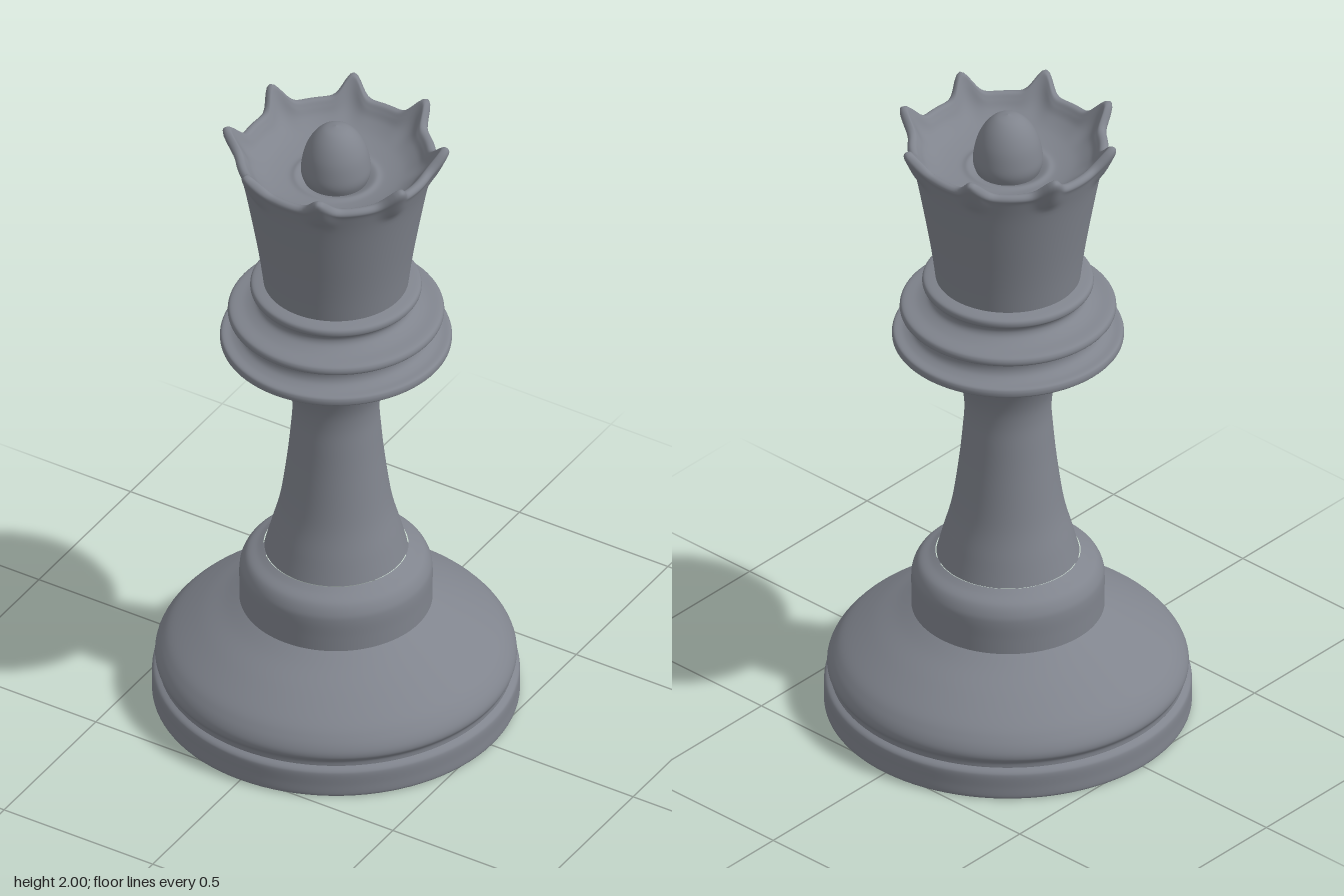
import * as THREE from 'three';
import { mergeVertices } from 'three/addons/utils/BufferGeometryUtils.js';

const SPIKES = 8;
const slate = new THREE.MeshStandardMaterial({ color: 0x80848d });
slate.name = 'slate grey';

// Smooth curve through [radius, height] points, listed bottom to top
function curve(points, steps = 6) {
  const spline = new THREE.SplineCurve(points.map(([r, y]) => new THREE.Vector2(r, y)));
  return spline.getPoints((points.length - 1) * steps)
    .map(p => new THREE.Vector2(Math.max(p.x, 0), p.y));
}

// Turned part around the vertical axis
function turned(name, points, steps = 6, segments = 96) {
  const mesh = new THREE.Mesh(new THREE.LatheGeometry(curve(points, steps), segments), slate);
  mesh.name = name;
  return mesh;
}

// Flared crown whose rim is pulled up and out into rounded points
function crown() {
  const profile = curve([
    [0.208, 1.455], [0.219, 1.54], [0.235, 1.64], [0.262, 1.79], [0.28, 1.865],
    [0.288, 1.888], [0.28, 1.9], [0.266, 1.899], [0.254, 1.885],
    [0.235, 1.862], [0.195, 1.838], [0.14, 1.824], [0.115, 1.826], [0.09, 1.815],
  ]);
  let geometry = new THREE.LatheGeometry(profile, 192);
  geometry.deleteAttribute('uv');
  geometry.deleteAttribute('normal');
  const pos = geometry.attributes.position;
  const step = (Math.PI * 2) / SPIKES;
  for (let i = 0; i < pos.count; i++) {
    const x = pos.getX(i), y = pos.getY(i), z = pos.getZ(i);
    const r = Math.hypot(x, z);
    const angle = Math.atan2(z, x) + Math.PI * 2;
    const offset = (angle % step) - step / 2;
    const spike = Math.exp(-((offset / 0.115) ** 2));
    const rim = THREE.MathUtils.smoothstep(y, 1.825, 1.897) * THREE.MathUtils.smoothstep(r, 0.18, 0.26);
    const scale = (r + 0.042 * spike * rim) / r;
    pos.setXYZ(i, x * scale, y + 0.056 * spike * rim * rim, z * scale);
  }
  geometry = mergeVertices(geometry, 1e-5);
  geometry.computeVertexNormals();
  const mesh = new THREE.Mesh(geometry, slate);
  mesh.name = 'crown';
  return mesh;
}

export function createModel() {
  const model = new THREE.Group();
  model.name = 'chessPiece';

  model.add(
    // Foot
    turned('underside', [[0, 0], [0.52, 0]], 1),
    turned('plinth', [[0.52, 0], [0.527, 0.008], [0.527, 0.04], [0.527, 0.075], [0.522, 0.088], [0.508, 0.097]]),
    turned('baseDome', [
      [0.508, 0.097], [0.509, 0.112], [0.518, 0.13], [0.515, 0.152], [0.498, 0.18],
      [0.466, 0.212], [0.39, 0.265], [0.32, 0.307], [0.277, 0.335],
    ]),
    turned('shoulder', [
      [0.277, 0.335], [0.277, 0.38], [0.277, 0.43], [0.272, 0.458],
      [0.255, 0.485], [0.225, 0.502], [0.208, 0.513],
    ]),
    // Stem flaring into the collar
    turned('stem', [
      [0.205, 0.512], [0.187, 0.58], [0.161, 0.68], [0.141, 0.82], [0.13, 0.93],
      [0.125, 1.01], [0.133, 1.075], [0.16, 1.145], [0.2, 1.197], [0.25, 1.227], [0.3, 1.24], [0.328, 1.245],
    ]),
    // Three stacked rings of the collar
    turned('lowerCollar', [
      [0.328, 1.245], [0.332, 1.25], [0.332, 1.263], [0.325, 1.272], [0.3, 1.276],
      [0.28, 1.287], [0.272, 1.305], [0.276, 1.325], [0.298, 1.333],
    ]),
    turned('middleCollar', [
      [0.298, 1.333], [0.309, 1.341], [0.309, 1.355], [0.298, 1.364], [0.26, 1.371],
      [0.232, 1.384], [0.223, 1.4], [0.228, 1.416], [0.238, 1.422],
    ]),
    turned('upperCollar', [
      [0.238, 1.422], [0.245, 1.43], [0.245, 1.443], [0.236, 1.451], [0.208, 1.457],
    ]),
    crown(),
    // Egg-shaped finial inside the crown
    turned('finial', [
      [0.09, 1.81], [0.1, 1.84], [0.099, 1.872], [0.088, 1.92],
      [0.066, 1.962], [0.036, 1.99], [0, 2],
    ], 5, 64),
  );
  return model;
}
